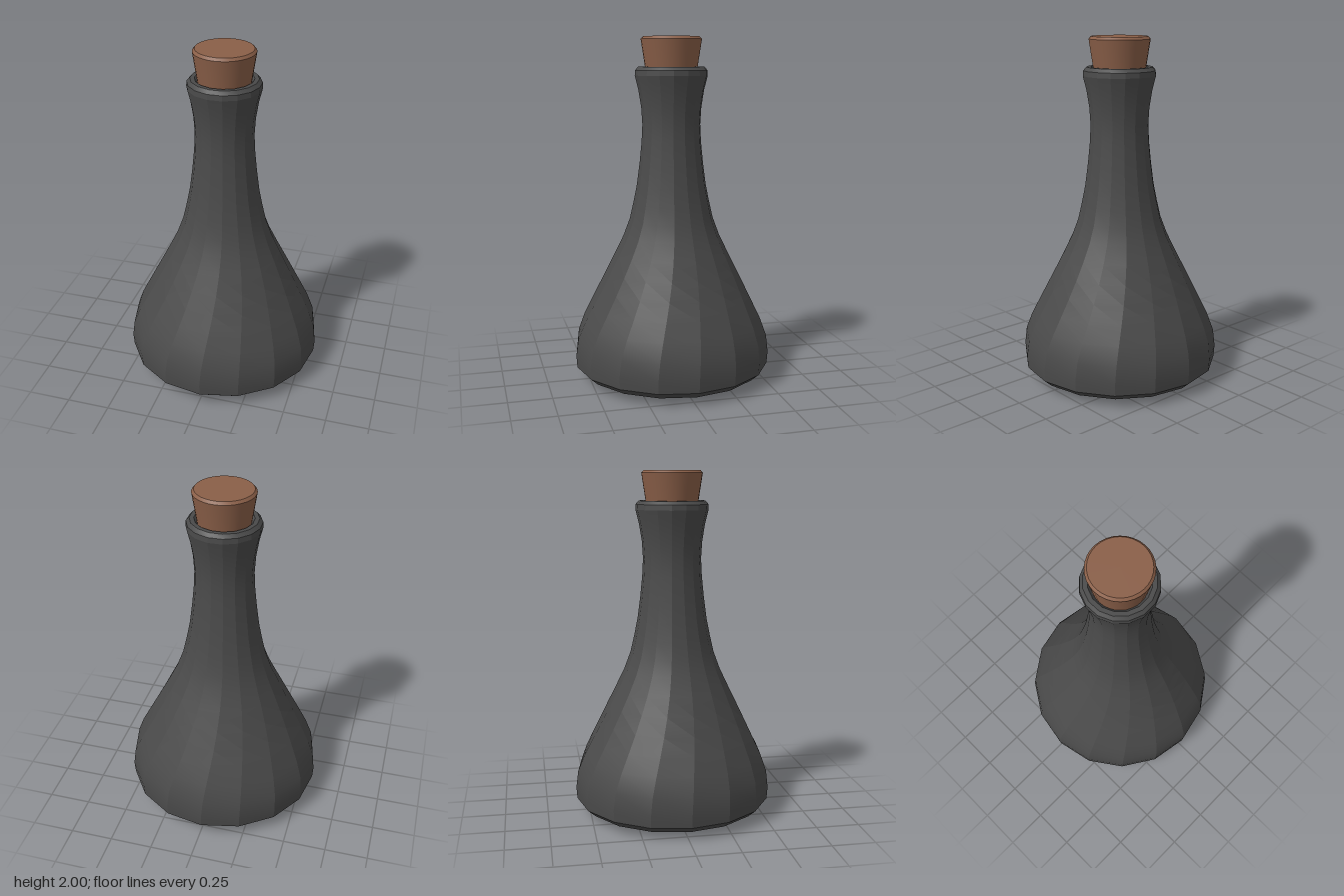
import * as THREE from 'three';
import { toCreasedNormals } from 'three/addons/utils/BufferGeometryUtils.js';

// Turn a [radius, height] profile, listed from the bottom up
function turned(profile, sides) {
  return new THREE.LatheGeometry(profile.map(([r, y]) => new THREE.Vector2(r, y)), sides);
}

// Rotate each ring gradually so the neck facets sit half a step round from the base
function twist(geometry, start, end, y0, y1) {
  const p = geometry.attributes.position;
  const v = new THREE.Vector3();
  const up = new THREE.Vector3(0, 1, 0);
  for (let i = 0; i < p.count; i++) {
    v.fromBufferAttribute(p, i);
    const t = THREE.MathUtils.smoothstep(v.y, y0, y1);
    v.applyAxisAngle(up, THREE.MathUtils.lerp(start, end, t));
    p.setXYZ(i, v.x, v.y, v.z);
  }
  return geometry;
}

export function createModel() {
  const group = new THREE.Group();
  group.name = 'corkedFlask';

  // Sixteen-sided flask: shallow base, flared body, narrow neck and lip
  const bottleGeometry = twist(turned([
    [0, 0], [0.42, 0.01], [0.53, 0.04], [0.575, 0.08], [0.58, 0.15],
    [0.568, 0.25], [0.53, 0.35], [0.48, 0.45], [0.43, 0.55], [0.38, 0.65],
    [0.33, 0.75], [0.282, 0.85], [0.245, 0.95], [0.222, 1.05], [0.202, 1.15],
    [0.185, 1.28], [0.173, 1.4], [0.168, 1.5], [0.174, 1.6], [0.19, 1.7],
    [0.21, 1.78], [0.208, 1.81], [0.19, 1.83], [0.165, 1.83], [0.14, 1.8],
  ], 16), 0.02, 0.02 + Math.PI / 16, 0.1, 1.0);
  const bottle = new THREE.Mesh(
    toCreasedNormals(bottleGeometry, 0.3),
    new THREE.MeshStandardMaterial({ color: 0x4a4a4a, side: THREE.DoubleSide }),
  );
  bottle.name = 'bottle';
  group.add(bottle);

  // Tapered stopper with a small bevel round the top
  const cork = new THREE.Mesh(
    toCreasedNormals(turned([
      [0, 1.77], [0.142, 1.77], [0.175, 1.985], [0.162, 2], [0, 2],
    ], 32), 0.4),
    new THREE.MeshStandardMaterial({ color: 0x8a5f48 }),
  );
  cork.name = 'cork';
  group.add(cork);

  return group;
}
